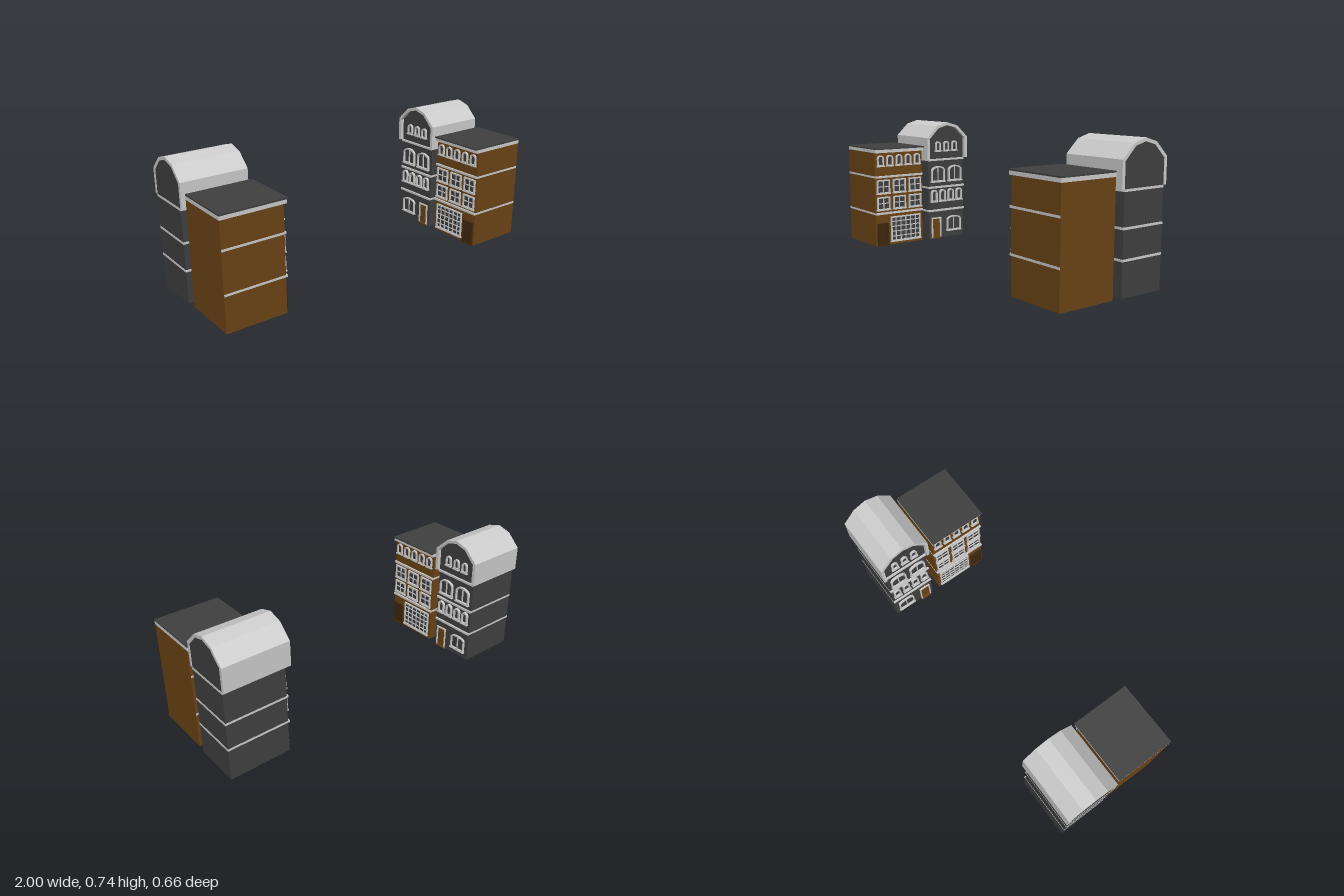
import * as THREE from 'three';

const mat = (color) => new THREE.MeshStandardMaterial({ color, flatShading: true });
const grey = mat(0xcccccc), dark = mat(0x404040), brown = mat(0x6b4415), wood = mat(0x3e270d);

// Each row is built facing local +z, with its facade plane at z = 0; s is its side of the street.
function createBlock(s) {
  const block = new THREE.Group();
  const X = (z) => -s * z; // position along the street

  function add(parent, name, geometry, material) {
    const m = new THREE.Mesh(geometry, material);
    m.name = name;
    parent.add(m);
    return m;
  }

  // Box from street positions z0..z1, heights y0..y1 and depths d0..d1
  function box(parent, name, z0, z1, y0, y1, d0, d1, material) {
    const m = add(parent, name, new THREE.BoxGeometry(Math.abs(z1 - z0), y1 - y0, d1 - d0), material);
    m.position.set(X((z0 + z1) / 2), (y0 + y1) / 2, (d0 + d1) / 2);
    return m;
  }

  // Outline with a flat or arched top
  function outline(target, w, y0, h, rise) {
    target.moveTo(-w / 2, y0);
    target.lineTo(w / 2, y0);
    target.lineTo(w / 2, h - rise);
    if (rise > 0) target.absellipse(0, h - rise, w / 2, rise, 0, Math.PI, false);
    else target.lineTo(w / 2, h);
    target.lineTo(-w / 2, h - rise);
    target.closePath();
    return target;
  }

  // Framed window with a dark pane, glazing bars and a sill
  function windowUnit(parent, name, z, y, w, h, { rise = 0, cols = 1, rows = 1, depth = 0.01, t = 0.008 } = {}) {
    const g = new THREE.Group();
    g.name = name;
    g.position.set(X(z), y, 0);
    parent.add(g);
    const shape = outline(new THREE.Shape(), w, 0, h, rise);
    shape.holes.push(outline(new THREE.Path(), w - 2 * t, t, h - t, Math.max(0, rise - t / 2)));
    add(g, 'frame', new THREE.ExtrudeGeometry(shape, { depth, bevelEnabled: false, curveSegments: 8 }), grey);
    const pane = add(g, 'pane', new THREE.ShapeGeometry(outline(new THREE.Shape(), w - t, t / 2, h - t / 2, rise), 8), dark);
    pane.position.z = 0.002;
    for (let i = 1; i < cols; i++) {
      const bar = add(g, 'mullion', new THREE.BoxGeometry(0.005, h - t, depth * 0.7), grey);
      bar.position.set((i / cols - 0.5) * w, h / 2, depth * 0.35);
    }
    for (let i = 1; i < rows; i++) {
      const bar = add(g, 'transom', new THREE.BoxGeometry(w - t, 0.005, depth * 0.7), grey);
      bar.position.set(0, (i / rows) * h, depth * 0.35);
    }
    const sill = add(g, 'sill', new THREE.BoxGeometry(w + 0.008, 0.007, depth + 0.003), grey);
    sill.position.set(0, 0, (depth + 0.003) / 2);
  }

  // Door with jambs, lintel, leaf and step
  function door(parent, z, w, h, frame, leaf) {
    const g = new THREE.Group();
    g.name = 'door';
    parent.add(g);
    box(g, 'doorLeaf', z - w / 2, z + w / 2, 0, h, 0, 0.005, leaf);
    for (const k of [-1, 1]) {
      const c = z + k * (w / 2 - 0.004);
      box(g, 'doorJamb', c - 0.004, c + 0.004, 0, h, 0, 0.011, frame);
    }
    box(g, 'lintel', z - w / 2, z + w / 2, h - 0.008, h, 0, 0.012, frame);
    box(g, 'doorStep', z - w / 2, z + w / 2, 0, 0.008, 0, 0.015, leaf);
  }

  // Brown house with a flat roof
  const house = new THREE.Group();
  house.name = 'flatRoofHouse';
  block.add(house);
  box(house, 'walls', 0.002, 0.332, 0, 0.574, -0.335, 0, brown);
  for (const y of [0.2, 0.425]) box(house, 'floorBand', 0.001, 0.333, y - 0.006, y + 0.006, -0.334, 0.01, grey);
  box(house, 'cornice', 0, 0.333, 0.572, 0.592, -0.336, 0.018, grey);
  box(house, 'flatRoof', 0, 0.333, 0.592, 0.6, -0.336, 0.026, dark);
  door(house, 0.285, 0.075, 0.14, wood, wood);
  windowUnit(house, 'shopWindow', 0.125, 0.02, 0.21, 0.155, { cols: 6, rows: 5 });
  for (const z of [0.278, 0.167, 0.056]) {
    windowUnit(house, 'lowerWindow', z, 0.222, 0.088, 0.08, { cols: 2, rows: 2 });
    windowUnit(house, 'upperWindow', z, 0.322, 0.088, 0.085, { cols: 2, rows: 2 });
  }
  for (let i = 0; i < 5; i++) {
    windowUnit(house, 'atticWindow', 0.039 + i * 0.064, 0.49, 0.044, 0.067, { rise: 0.02 });
  }

  // Dark house with a five-sided gable
  const gabled = new THREE.Group();
  gabled.name = 'gabledHouse';
  block.add(gabled);
  const mid = -0.18;
  const wall = new THREE.Shape([[-0.133, 0], [0.133, 0], [0.133, 0.64], [0.066, 0.706], [0, 0.724], [-0.066, 0.706], [-0.133, 0.64]]
    .map((p) => new THREE.Vector2(...p)));
  const walls = add(gabled, 'walls', new THREE.ExtrudeGeometry(wall, { depth: 0.343, bevelEnabled: false }), dark);
  walls.position.set(X(mid), 0, -0.343);
  for (const y of [0.18, 0.33, 0.506]) box(gabled, 'floorBand', mid - 0.134, mid + 0.134, y - 0.006, y + 0.006, -0.345, 0.01, grey);

  // Roof shell wrapping over the gable
  const shell = new THREE.Shape([
    [0.151, 0.512], [0.151, 0.648], [0.076, 0.72], [0, 0.742], [-0.076, 0.72], [-0.151, 0.648], [-0.151, 0.512],
    [-0.133, 0.512], [-0.133, 0.64], [-0.066, 0.706], [0, 0.724], [0.066, 0.706], [0.133, 0.64], [0.133, 0.512],
  ].map((p) => new THREE.Vector2(...p)));
  const roof = add(gabled, 'roof', new THREE.ExtrudeGeometry(shell, { depth: 0.367, bevelEnabled: false }), grey);
  roof.position.set(X(mid), 0, -0.345);

  door(gabled, -0.1, 0.07, 0.135, grey, brown);
  windowUnit(gabled, 'groundWindow', -0.235, 0.04, 0.105, 0.095, { rise: 0.02, cols: 2, depth: 0.012 });
  for (let i = 0; i < 4; i++) {
    windowUnit(gabled, 'archedWindow', mid + (i - 1.5) * 0.063, 0.238, 0.045, 0.076, { rise: 0.02, depth: 0.014 });
  }
  for (const k of [-1, 1]) {
    windowUnit(gabled, 'wideWindow', mid + k * 0.064, 0.365, 0.1, 0.1, { rise: 0.03, cols: 2, depth: 0.014 });
  }
  for (const k of [-1, 0, 1]) {
    windowUnit(gabled, 'gableWindow', mid + k * 0.062, 0.56, 0.04, 0.062, { rise: 0.02, depth: 0.012 });
  }

  block.rotation.y = (s * Math.PI) / 2;
  block.position.x = -0.655 * s;
  return block;
}

export function createModel() {
  const model = new THREE.Group();
  model.name = 'streetHouses';
  for (const s of [1, -1]) {
    const block = createBlock(s);
    block.name = s > 0 ? 'rightBlock' : 'leftBlock';
    model.add(block);
  }
  return model;
}
